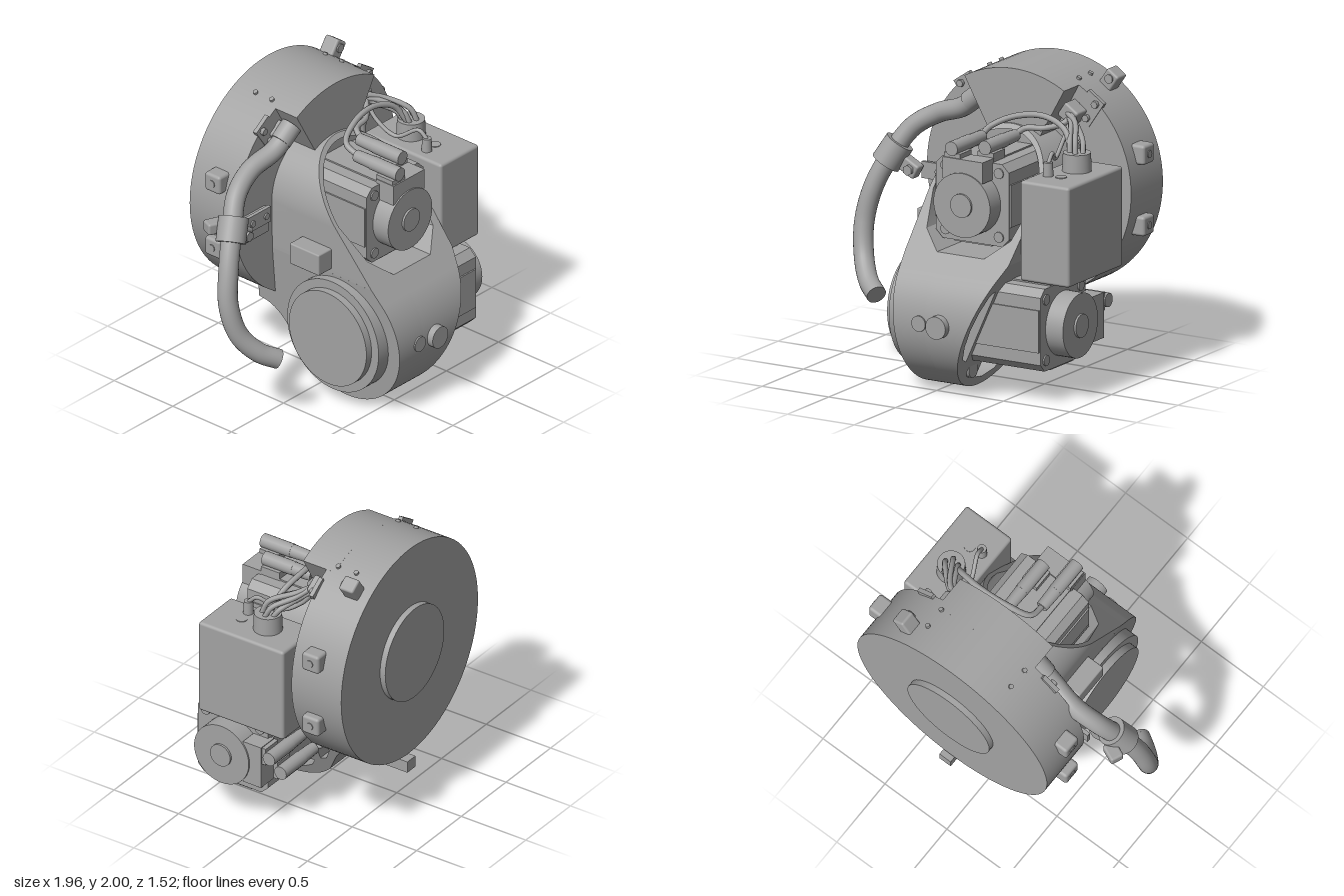
import * as THREE from 'three';
import { toCreasedNormals } from 'three/addons/utils/BufferGeometryUtils.js';
import { RoundedBoxGeometry } from 'three/addons/geometries/RoundedBoxGeometry.js';

const V = (x, y, z) => new THREE.Vector3(x, y, z);
const metal = new THREE.MeshStandardMaterial({ color: 0xa2a2a2 });
metal.name = 'castGrey';

function add(parent, name, geo, x = 0, y = 0, z = 0) {
  const m = new THREE.Mesh(geo, metal);
  m.name = name;
  m.position.set(x, y, z);
  parent.add(m);
  return m;
}

// box from minimum and maximum corners
function box(parent, name, a, b, round = 0) {
  const s = b.map((v, i) => v - a[i]), c = b.map((v, i) => (v + a[i]) / 2);
  const geo = round ? new RoundedBoxGeometry(...s, 3, round) : new THREE.BoxGeometry(...s);
  return add(parent, name, geo, ...c);
}

// cylinder between two points
function rod(parent, name, r, a, b, r2 = r, sides = 40) {
  const d = b.clone().sub(a);
  const m = add(parent, name, new THREE.CylinderGeometry(r2, r, d.length(), sides));
  m.position.copy(a).add(b).multiplyScalar(0.5);
  m.quaternion.setFromUnitVectors(V(0, 1, 0), d.normalize());
  return m;
}

function tube(parent, name, r, pts, segs = 32, sides = 8) {
  const curve = new THREE.CatmullRomCurve3(pts.map(p => V(...p)));
  return add(parent, name, new THREE.TubeGeometry(curve, segs, r, sides));
}

// extrusion of unit depth whose two ends follow the rules back(y) and front(y)
function warped(shape, back, front, alongX) {
  const g = new THREE.ExtrudeGeometry(shape, { depth: 1, bevelEnabled: false, curveSegments: 40 });
  if (alongX) g.rotateY(Math.PI / 2);
  const p = g.attributes.position;
  for (let i = 0; i < p.count; i++) {
    const y = p.getY(i), w = alongX ? p.getX(i) : p.getZ(i);
    const v = w > 0.5 ? front(y) : back(y);
    alongX ? p.setX(i, v) : p.setZ(i, v);
  }
  return toCreasedNormals(g, 0.5);
}

const poly = pts => pts.map(p => new THREE.Vector2(...p));
const octagon = (h, c) => new THREE.Shape(poly([[-h + c, -h], [h - c, -h], [h, -h + c], [h, h - c],
  [h - c, h], [-h + c, h], [-h, h - c], [-h, -h + c]]));
const slab = (shape, depth) => new THREE.ExtrudeGeometry(shape, { depth, bevelEnabled: false });

// servo motor along +z, with its connectors on the +y side
function motor(name, len) {
  const g = new THREE.Group();
  g.name = name;
  add(g, 'motorBody', slab(octagon(0.272, 0.05), len));
  for (let i = 0; i < 4; i++) // raised band along each side
    box(g, 'sideBand', [-0.14, 0.2, 0], [0.14, 0.282, len - 0.01]).parent.children.at(-1)
      .applyMatrix4(new THREE.Matrix4().makeRotationZ(i * Math.PI / 2));
  rod(g, 'encoderCap', 0.212, V(0, 0, len), V(0, 0, len + 0.13));
  rod(g, 'capBoss', 0.078, V(0, 0, len + 0.13), V(0, 0, len + 0.145));
  for (const x of [-0.2, 0.2]) for (const y of [-0.21, 0.21])
    rod(g, 'flangeBolt', 0.035, V(x, y, len), V(x, y, len + 0.01), 0.035, 16);
  box(g, 'connectorBase', [-0.15, 0.16, len - 0.02], [0.15, 0.3, len + 0.12]);
  for (const [x, back] of [[-0.085, 0], [0.085, 0.13]]) {
    const end = len + 0.09 - back;
    box(g, 'connectorFoot', [x - 0.06, 0.27, end - 0.12], [x + 0.06, 0.33, end + 0.02]);
    rod(g, 'connector', 0.047, V(x, 0.36, end - 0.2), V(x, 0.36, end + 0.03), 0.047, 16);
    rod(g, 'connectorNeck', 0.04, V(x, 0.36, end - 0.34), V(x, 0.36, end - 0.2), 0.045, 16);
  }
  return g;
}

export function createModel() {
  const root = new THREE.Group();
  root.name = 'motorUnit';
  const cx = 0.175, cy = 1.235, R = 0.765;

  // large drum, rear disc and raised front sector
  rod(root, 'drum', R, V(cx, cy, -0.72), V(cx, cy, -0.335), R, 96);
  rod(root, 'rearDisc', 0.33, V(cx, cy, -0.76), V(cx, cy, -0.72), 0.33, 64);
  const sector = new THREE.Shape();
  const a0 = Math.PI / 2 - 0.51, a1 = Math.PI / 2 + 0.51;
  sector.absarc(cx, cy, R, a0, a1, false);
  sector.absarc(cx, cy, 0.32, a1, a0, true);
  add(root, 'frontSector', warped(sector, () => -0.4, () => -0.155));
  for (const a of [a0, a1]) for (const z of [-0.4, -0.54]) {
    const b = a + (a === a0 ? 0.06 : -0.06), d = V(Math.cos(b), Math.sin(b), 0);
    const c = V(cx, cy, z);
    rod(root, 'drumScrew', 0.016, c.clone().addScaledVector(d, R - 0.01), c.addScaledVector(d, R + 0.015), 0.016, 12);
  }

  // square lugs on both sides of the drum, wider at the root
  for (const s of [-1, 1]) for (const dy of [-0.235, 0.235]) {
    const lug = new THREE.Group();
    lug.name = 'sideLug';
    box(lug, 'lugBlock', [0.68, -0.065, -0.065], [0.8, 0.065, 0.065], 0.02);
    rod(lug, 'lugBoss', 0.025, V(0.79, 0, 0), V(0.806, 0, 0), 0.025, 16);
    lug.position.set(cx, cy + dy, -0.5);
    lug.rotation.y = s > 0 ? 0 : Math.PI;
    root.add(lug);
  }
  const eye = new THREE.Group();
  eye.name = 'topLug';
  box(eye, 'lugBlock', [0.72, -0.05, -0.055], [0.875, 0.05, 0.055], 0.015);
  rod(eye, 'lugBoss', 0.03, V(0.825, 0, 0.05), V(0.825, 0, 0.065), 0.03, 16);
  eye.position.set(cx, cy, -0.595);
  eye.rotation.z = 0.96;
  root.add(eye);
  const foot = new THREE.Shape(poly([[0.46, 0.5], [0.57, 0.37], [0.755, 0.37], [0.755, 0.45], [0.68, 0.45], [0.68, 0.5]]));
  add(root, 'bottomFoot', warped(foot, () => 0.16, () => 0.25, true));

  // upper housing: a cup for the front motor, cut by a sloping plane
  const slope = y => 0.51 - (y - 0.9) * 0.88;
  const upper = () => {
    const s = new THREE.Shape();
    s.moveTo(-0.23, 0.9); s.lineTo(0.545, 0.9); s.lineTo(0.565, 1.24);
    s.absarc(0.165, 1.24, 0.4, 0, Math.PI, false);
    return s;
  };
  const rim = upper(), cup = new THREE.Path();
  cup.moveTo(0, 0.915); cup.lineTo(0.35, 0.915); cup.lineTo(0.49, 1.03); cup.lineTo(0.535, 1.24);
  cup.absarc(0.165, 1.24, 0.37, 0, Math.PI, false);
  cup.lineTo(-0.14, 1.03);
  rim.holes.push(cup);
  add(root, 'upperHousingWall', warped(rim, () => -0.34, slope));
  add(root, 'upperHousingFloor', warped(upper(), () => -0.36, () => -0.15));

  // lower housing: round in side profile, tapering to the bottom (profile runs along -z)
  const lower = () => {
    const s = new THREE.Shape();
    s.moveTo(-0.51, 0.9); s.lineTo(-0.59, 0.81);
    s.absarc(-0.23, 0.485, 0.485, 2.41, 5.55, false);
    s.bezierCurveTo(0.22, 0.3, 0.28, 0.47, 0.48, 0.475);
    s.lineTo(0.48, 0.9);
    return s;
  };
  const left = y => -0.15 - 0.089 * y, right = y => 0.14 + 0.45 * y;
  const ribbed = lower();
  for (const pts of [
    [[-0.54, 0.23], [-0.54, 0.73], [-0.6, 0.7], [-0.65, 0.6], [-0.67, 0.48], [-0.65, 0.36], [-0.6, 0.26]],
    [[0.08, 0.24], [0.08, 0.75], [0.14, 0.72], [0.19, 0.6], [0.205, 0.48], [0.18, 0.35], [0.13, 0.26]],
    [[-0.31, 0.19], [0.02, 0.19], [-0.02, 0.13], [-0.1, 0.08], [-0.22, 0.055], [-0.31, 0.07]],
  ]) ribbed.holes.push(new THREE.Path(poly(pts)));
  add(root, 'lowerHousing', warped(ribbed, () => 0.04, right, true));
  add(root, 'lowerHousingBack', warped(lower(), left, () => 0.06, true));
  rod(root, 'sidePlug', 0.055, V(0.1, 0.15, 0.41), V(0.22, 0.15, 0.41));

  // side cover, front plugs and side block
  rod(root, 'sideCoverBase', 0.39, V(-0.285, 0.49, 0.23), V(-0.1, 0.49, 0.23), 0.39, 64);
  rod(root, 'sideCover', 0.33, V(-0.335, 0.49, 0.23), V(-0.28, 0.49, 0.23), 0.33, 64);
  rod(root, 'frontPlug', 0.075, V(0.15, 0.49, 0.65), V(0.15, 0.49, 0.76));
  rod(root, 'smallPlug', 0.052, V(0, 0.49, 0.65), V(0, 0.49, 0.724));
  box(root, 'sideBlock', [-0.355, 0.93, -0.08], [-0.2, 1.08, 0.17], 0.01);

  // the two motors
  const front = motor('frontMotor', 0.5);
  front.position.set(0.175, 1.24, -0.15);
  root.add(front);
  const sideMotor = motor('sideMotor', 0.66);
  sideMotor.quaternion.setFromRotationMatrix(new THREE.Matrix4().makeBasis(V(0, -1, 0), V(0, 0, -1), V(1, 0, 0)));
  sideMotor.position.set(0.12, 0.495, 0.23);
  root.add(sideMotor);

  // junction box with glands and bracket
  box(root, 'junctionBox', [0.56, 0.78, -0.26], [0.927, 1.44, 0.4], 0.02);
  box(root, 'boxBracket', [0.5, 0.99, -0.36], [0.7, 1.25, -0.24]);
  rod(root, 'cableGland', 0.095, V(0.735, 1.43, -0.01), V(0.735, 1.56, -0.01), 0.09);
  rod(root, 'smallGland', 0.035, V(0.65, 1.43, 0.2), V(0.65, 1.53, 0.2), 0.03, 16);
  rod(root, 'boxScrew', 0.037, V(0.74, 1.43, 0.19), V(0.74, 1.445, 0.19), 0.037, 20);

  // cables
  tube(root, 'frontCable', 0.02, [[0.09, 1.6, 0.12], [0.1, 1.65, 0], [0.25, 1.72, -0.06], [0.45, 1.74, -0.08], [0.62, 1.68, -0.05], [0.7, 1.54, 0]]);
  tube(root, 'frontCable', 0.02, [[0.26, 1.6, 0], [0.3, 1.64, -0.09], [0.42, 1.65, -0.12], [0.52, 1.68, -0.2], [0.56, 1.74, -0.26]]);
  for (let i = 0; i < 5; i++) {
    const t = i * 1.257, c = Math.cos(t) * 0.045, s = Math.sin(t) * 0.045;
    tube(root, 'bundleCable', 0.018, [[0.735 + c, 1.54, s - 0.01], [0.71 + c, 1.62 + s * 0.4, s - 0.05], [0.62 + c * 0.6, 1.68 + s * 0.6, -0.16], [0.53, 1.73 + c * 0.5, -0.25 + s * 0.4]], 20);
  }
  tube(root, 'smallCable', 0.014, [[0.65, 1.52, 0.2], [0.64, 1.57, 0.14], [0.58, 1.5, 0], [0.55, 1.58, -0.14], [0.55, 1.7, -0.24]]);
  for (const [x, y, z] of [[0.53, 0.57, 0], [0.4, 0.41, -0.02]])
    tube(root, 'sideCable', 0.018, [[x, y, -0.13], [x - 0.06, y + 0.04, -0.2], [x, 0.8, -0.27 + z], [0.57, 1.1, -0.29 + z], [0.58, 1.45, -0.28 + z], [0.55, 1.62, -0.24], [0.54, 1.72, -0.26]]);

  // clamp plates beside the sector
  for (const s of [-1, 1]) {
    const clamp = new THREE.Group();
    clamp.name = 'cableClamp';
    box(clamp, 'clampPlate', [-0.07, -0.1, -0.05], [0.07, 0.1, -0.02]);
    for (const y of [-0.06, 0.06]) rod(clamp, 'clampBolt', 0.025, V(0.025 * s, y, -0.02), V(0.025 * s, y, 0.005), 0.025, 6);
    box(clamp, 'clampBody', [-0.06 - s * 0.06, -0.13, -0.05], [0.06 - s * 0.06, -0.02, 0.09], 0.015);
    clamp.position.set(cx + s * 0.45, 1.76, -0.31);
    clamp.rotation.z = -s * 0.6;
    root.add(clamp);
  }

  // hose with collar and its holder
  const hose = [[-0.14, 1.77, -0.26], [-0.28, 1.66, -0.27], [-0.48, 1.585, -0.3], [-0.65, 1.48, -0.27], [-0.77, 1.3, -0.2],
    [-0.87, 1.08, -0.14], [-0.915, 0.85, -0.1], [-0.88, 0.64, -0.04], [-0.79, 0.51, 0.05], [-0.69, 0.45, 0.12]];
  tube(root, 'hose', 0.065, hose, 80, 24);
  const end = V(...hose[9]), dir = end.clone().sub(V(...hose[8])).normalize();
  rod(root, 'hoseEnd', 0.065, end.clone().addScaledVector(dir, -0.02), end.clone().addScaledVector(dir, 0.004), 0.065, 24);
  rod(root, 'hoseFitting', 0.07, V(-0.23, 1.7, -0.265), V(-0.13, 1.78, -0.26), 0.07, 24);
  rod(root, 'hoseCollar', 0.098, V(-0.725, 1.375, -0.225), V(-0.805, 1.235, -0.18), 0.098, 32);
  box(root, 'collarEar', [-0.71, 1.17, -0.27], [-0.58, 1.27, -0.19], 0.015).rotation.z = -0.5;
  rod(root, 'earBolt', 0.035, V(-0.635, 1.21, -0.2), V(-0.635, 1.21, -0.165), 0.035, 6);
  box(root, 'collarTab', [-0.87, 1.27, -0.36], [-0.75, 1.35, -0.27], 0.015).rotation.y = -0.4;
  box(root, 'holderPlate', [-0.6, 1.14, -0.31], [-0.3, 1.25, -0.285]);
  box(root, 'holderBlock', [-0.53, 1.06, -0.36], [-0.3, 1.24, -0.3], 0.01);
  for (const x of [-0.475, -0.345]) rod(root, 'holderBolt', 0.022, V(x, 1.195, -0.29), V(x, 1.195, -0.275), 0.022, 12);

  return root;
}
